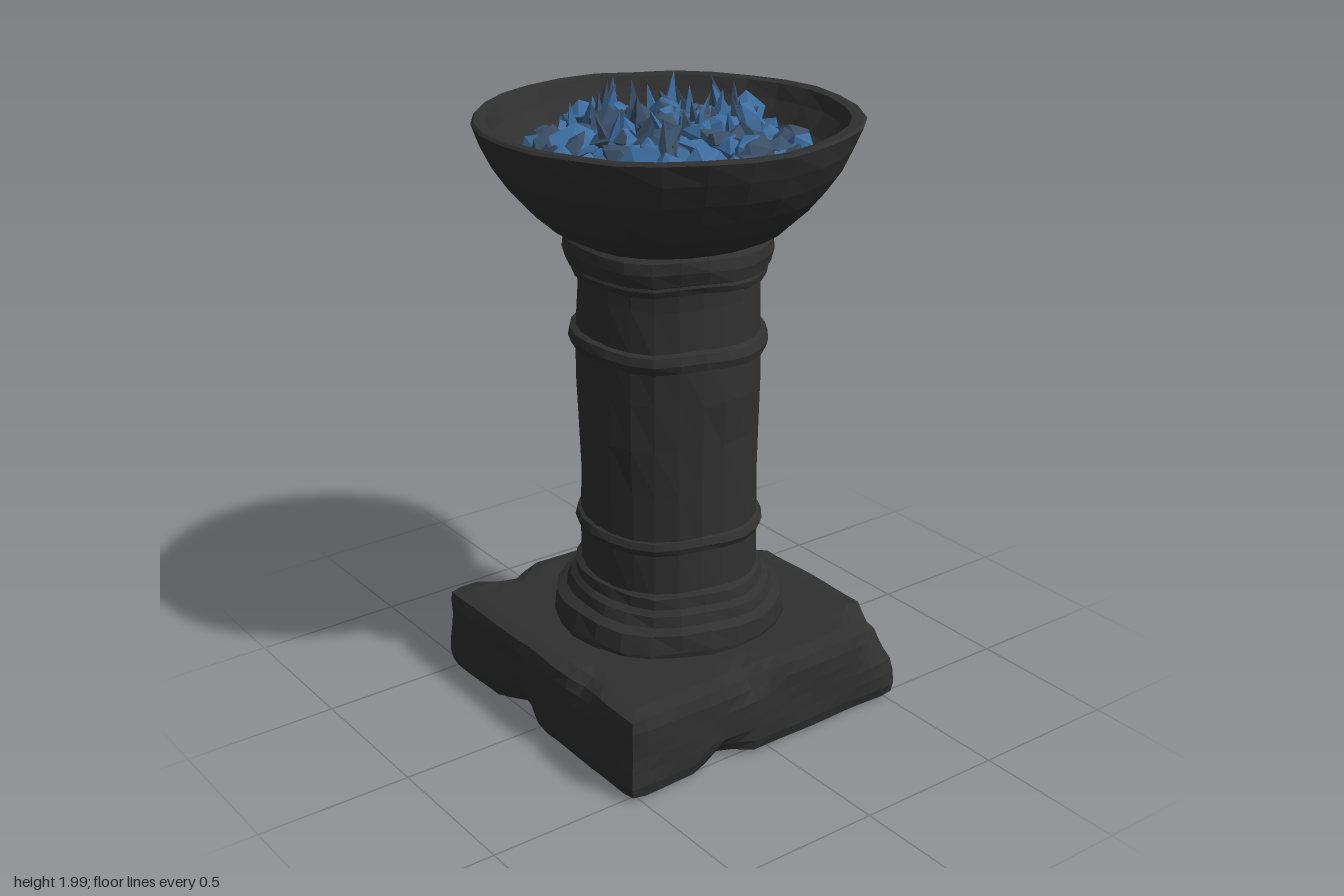
import * as THREE from 'three';
import { mergeGeometries, mergeVertices } from 'three/addons/utils/BufferGeometryUtils.js';

const stone = new THREE.MeshStandardMaterial({ color: 0x303030, flatShading: true });
const floorStone = new THREE.MeshStandardMaterial({ color: 0x3a3a39, flatShading: true });
const brightBlue = new THREE.MeshStandardMaterial({ color: 0x3c6c9e, flatShading: true });
const slateBlue = new THREE.MeshStandardMaterial({ color: 0x3a4f66, flatShading: true });
stone.name = 'dark stone';
floorStone.name = 'bowl floor stone';
brightBlue.name = 'bright blue coal';
slateBlue.name = 'slate blue coal';

let seed = 7;
const rand = () => (seed = (seed * 16807) % 2147483647) / 2147483647;
const spread = (s) => (rand() * 2 - 1) * s;

// Smooth bumps that depend on position only, so seams stay closed
const bump = (x, y, z) =>
  (Math.sin(x * 11 + y * 17 + 1) + Math.sin(z * 13 - y * 9 + 2) + Math.sin((x + z) * 19 + y * 31)) / 3;

function move(geometry, rule) {
  const p = geometry.attributes.position;
  const v = new THREE.Vector3();
  for (let i = 0; i < p.count; i++) {
    rule(v.fromBufferAttribute(p, i));
    p.setXYZ(i, v.x, v.y, v.z);
  }
  geometry.computeVertexNormals();
  return geometry;
}

function part(name, geometry, material) {
  const mesh = new THREE.Mesh(geometry, material);
  mesh.name = name;
  return mesh;
}

function turned(profile, segments, rough, sag) {
  const points = profile.map(([r, y]) => new THREE.Vector2(r, y));
  return move(new THREE.LatheGeometry(points, segments), (v) => {
    const b = bump(v.x, v.y, v.z);
    const r = Math.hypot(v.x, v.z);
    if (r < 0.001) return;
    v.x *= 1 + (b * rough) / r;
    v.z *= 1 + (b * rough) / r;
    v.y += sag * Math.sin(v.x * 14 + v.z * 10);
  });
}

// Square block with rounded, chipped edges
function plinthGeometry() {
  const half = 0.535, top = 0.285, round = 0.035;
  // Chips: x, y, z, radius, depth
  const chips = [
    [-0.17, 0, 0.54, 0.1, 0.05], [-0.06, 0.28, 0.54, 0.09, 0.04],
    [0.54, 0, 0, 0.1, 0.06], [0.5, 0.26, 0.5, 0.14, 0.05],
    [0.54, 0.28, -0.22, 0.1, 0.04], [0.15, 0, -0.54, 0.12, 0.05],
    [-0.54, 0, -0.1, 0.12, 0.05], [-0.3, 0.28, -0.54, 0.1, 0.04],
    [-0.54, 0.28, 0.25, 0.1, 0.03], [0.54, 0, -0.52, 0.12, 0.05],
  ];
  const inner = new THREE.Vector3(), d = new THREE.Vector3();
  return move(new THREE.BoxGeometry(half * 2, top, half * 2, 18, 6, 18), (v) => {
    v.y += top / 2;
    const lim = half - round;
    inner.set(
      THREE.MathUtils.clamp(v.x, -lim, lim),
      THREE.MathUtils.clamp(v.y, round, top - round),
      THREE.MathUtils.clamp(v.z, -lim, lim));
    d.subVectors(v, inner);
    if (d.length() > round) v.copy(inner).add(d.setLength(round));
    for (const [x, y, z, r, depth] of chips) {
      const k = Math.max(0, 1 - Math.hypot(v.x - x, v.y - y, v.z - z) / r) * depth;
      if (Math.abs(x) > 0.45) v.x -= Math.sign(x) * k;
      if (Math.abs(z) > 0.45) v.z -= Math.sign(z) * k;
      v.y += (y > 0.1 ? -1 : 1) * k * 0.7;
    }
    const b = 1 + bump(v.x, v.y, v.z) * 0.012;
    v.x *= b;
    v.z *= b;
  });
}

// Jagged lump made from a jittered icosahedron
function coal(x, y, z, size) {
  let g = new THREE.IcosahedronGeometry(size, 0);
  g.deleteAttribute('normal');
  g.deleteAttribute('uv');
  g = mergeVertices(g);
  g.scale(1 + spread(0.35), 0.75 + spread(0.25), 1 + spread(0.35));
  g.rotateX(spread(1));
  g.rotateY(spread(3));
  return move(g, (v) => {
    v.multiplyScalar(1 + spread(0.38));
    v.add(new THREE.Vector3(x, y, z));
    v.y = Math.min(v.y, 1.96);
  }).toNonIndexed();
}

// Thin upright splinter
function splinter(x, y, z, height) {
  const g = new THREE.ConeGeometry(0.022 + rand() * 0.015, height, 4, 1);
  g.deleteAttribute('uv');
  g.rotateZ(spread(0.5));
  g.rotateY(spread(3));
  g.translate(x, y, z);
  return move(g.toNonIndexed(), (v) => { v.y = Math.min(v.y, 2); });
}

function coalHeap() {
  const heap = new THREE.Group();
  heap.name = 'coalHeap';
  const piles = [[], []];
  const gaps = [[-0.12, 0.05], [-0.05, -0.05], [0, -0.13], [0.17, -0.02], [0.22, 0.2], [0.12, -0.27]];
  const count = 190;
  for (let i = 0; i < count; i++) {
    const r = 0.4 * Math.sqrt((i + 0.5) / count);
    const a = i * 2.39996;
    const x = r * Math.cos(a) + spread(0.02);
    const z = r * Math.sin(a) + spread(0.02);
    if (gaps.some(([gx, gz]) => Math.hypot(x - gx, z - gz) < 0.055)) continue;
    const y = 1.885 - 0.42 * r * r + spread(0.025);
    piles[rand() < 0.55 ? 0 : 1].push(coal(x, y, z, 0.04 + rand() * 0.025));
  }
  for (let i = 0; i < 34; i++) {
    const a = i * 2.39996 + 1;
    const r = 0.08 + 0.23 * rand();
    piles[i % 2].push(splinter(r * Math.cos(a) + 0.03, 1.925, r * Math.sin(a) - 0.03, 0.08 + rand() * 0.06));
  }
  heap.add(part('brightCoals', mergeGeometries(piles[0]), brightBlue));
  heap.add(part('slateCoals', mergeGeometries(piles[1]), slateBlue));
  return heap;
}

export function createModel() {
  const model = new THREE.Group();
  model.name = 'stoneBrazier';

  model.add(part('plinth', plinthGeometry(), stone));

  // Stepped foot of the column
  model.add(part('columnFoot', turned([
    [0.37, 0.26], [0.375, 0.3], [0.365, 0.36], [0.335, 0.375], [0.325, 0.41],
    [0.305, 0.425], [0.3, 0.46], [0.27, 0.475],
  ], 24, 0.012, 0.006), stone));

  // Shaft
  model.add(part('columnShaft', turned([
    [0.285, 0.42], [0.283, 0.6], [0.285, 0.8], [0.285, 0.95], [0.29, 1.1],
    [0.288, 1.25], [0.284, 1.4], [0.284, 1.55],
  ], 24, 0.007, 0), stone));

  // Bands round the shaft
  const bands = [
    ['lowerBand', 0.625, 0.3, 0.03], ['upperBand', 1.24, 0.313, 0.038], ['neckBand', 1.475, 0.312, 0.03],
  ];
  for (const [name, y, r, h] of bands) {
    model.add(part(name, turned([
      [0.27, y - h], [r - 0.008, y - h * 0.7], [r, y], [r - 0.008, y + h * 0.7], [0.27, y + h],
    ], 24, 0.008, 0.007), stone));
  }
  model.add(part('capital', turned([
    [0.28, 1.47], [0.32, 1.49], [0.33, 1.53], [0.325, 1.565], [0.3, 1.585], [0.3, 1.61],
  ], 24, 0.007, 0.006), stone));

  // Bowl, outer wall over the rim to the inner wall
  model.add(part('bowl', turned([
    [0, 1.575], [0.31, 1.575], [0.37, 1.605], [0.43, 1.66], [0.485, 1.725], [0.53, 1.79], [0.565, 1.86],
    [0.588, 1.925], [0.58, 1.933], [0.545, 1.928], [0.525, 1.88], [0.485, 1.82], [0.43, 1.78], [0.38, 1.765],
  ], 28, 0.007, 0.002), stone));
  model.add(part('bowlFloor', turned([[0.41, 1.772], [0.2, 1.775], [0, 1.78]], 20, 0.01, 0), floorStone));

  model.add(coalHeap());
  return model;
}
